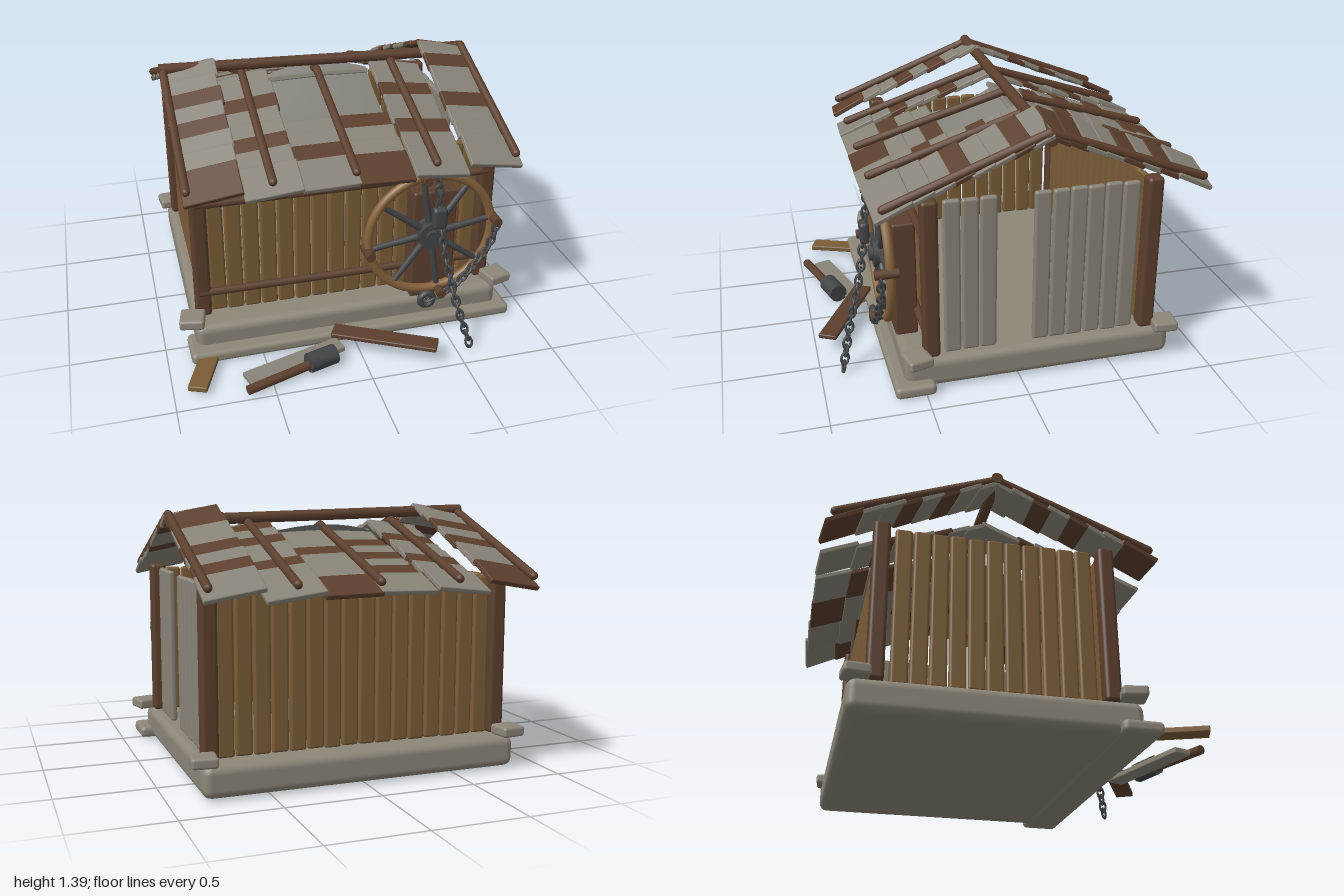
import * as THREE from 'three';
import { RoundedBoxGeometry } from 'three/addons/geometries/RoundedBoxGeometry.js';

const V = (x, y, z) => new THREE.Vector3(x, y, z);
const mat = (name, color, side = THREE.FrontSide) => {
  const m = new THREE.MeshStandardMaterial({ color, side });
  m.name = name;
  return m;
};

export function createModel() {
  const stone = mat('stone', 0x8c8678);
  const greyWood = mat('greyWood', 0x888377);
  const darkWood = mat('darkWood', 0x5c3f2e);
  const plankWood = mat('plankWood', 0x7a5c37);
  const wheelWood = mat('wheelWood', 0x86623b);
  const iron = mat('iron', 0x434446);
  const cloth = mat('patchCloth', 0x85827a, THREE.DoubleSide);

  const root = new THREE.Group();
  root.name = 'shed';
  let seed = 7;
  const rand = () => ((seed = (seed * 16807) % 2147483647) / 2147483647) - 0.5;

  const add = (parent, name, geo, m, pos = [0, 0, 0], rot = [0, 0, 0]) => {
    const mesh = new THREE.Mesh(geo, m);
    mesh.name = name;
    mesh.position.set(...pos);
    mesh.rotation.set(...rot);
    parent.add(mesh);
    return mesh;
  };
  const block = (parent, name, size, m, pos, rot, r = 0.012) =>
    add(parent, name, new RoundedBoxGeometry(...size, 2, Math.min(r, Math.min(...size) * 0.45)), m, pos, rot);
  const rod = (parent, name, a, b, r, m, r2 = r) => {
    const d = b.clone().sub(a);
    const mesh = add(parent, name, new THREE.CylinderGeometry(r2, r, d.length(), 12), m);
    mesh.position.copy(a).addScaledVector(d, 0.5);
    mesh.quaternion.setFromUnitVectors(V(0, 1, 0), d.normalize());
    return mesh;
  };
  const group = (name) => {
    const g = new THREE.Group();
    g.name = name;
    root.add(g);
    return g;
  };

  // Stone foundation, front step and corner pads
  const base = group('foundation');
  block(base, 'slab', [1.68, 0.165, 1.43], stone, [0, 0.0975, -0.115], undefined, 0.045);
  block(base, 'step', [1.78, 0.065, 0.21], stone, [0.01, 0.04, 0.565], [0, 0.012, 0], 0.025);
  for (const [x, z, ry] of [[-0.85, 0.54, -0.2], [0.85, 0.54, 0.25], [-0.82, -0.79, 0.1], [0.83, -0.79, -0.1]])
    block(base, 'cornerPad', [0.13, 0.055, 0.13], stone, [x, 0.205, z], [0, ry, 0], 0.015);

  // Corner posts and rows of wall planks
  const walls = group('walls');
  for (const x of [-0.78, 0.78])
    for (const z of [0.455, -0.7])
      block(walls, 'cornerPost', [0.085, 0.86, 0.085], darkWood, [x, 0.61, z], undefined, 0.02);
  const plank = (name, x, z, w, ry, m) =>
    block(walls, name, [w, 0.84 + rand() * 0.012, 0.035], m, [x, 0.6, z], [0, ry, rand() * 0.008], 0.014);
  for (let i = 0; i < 16; i++) {
    const x = -0.695 + i * 0.0927;
    plank('frontPlank', x, 0.44, 0.087, 0, plankWood);
    plank('backPlank', x, -0.69, 0.087, 0, plankWood);
  }
  for (let i = 0; i < 11; i++) {
    const z = 0.34 - i * 0.0927;
    plank('leftGable', -0.77, z, 0.087, Math.PI / 2, plankWood);
    if (i !== 3 && i !== 4) plank('rightGable', 0.77, z, 0.087, Math.PI / 2, greyWood);
  }
  for (const y of [0.32, 0.845]) rod(walls, 'frontRail', V(-0.8, y, 0.48), V(0.78, y, 0.48), 0.021, darkWood);

  // Roof: six sagging columns of shingles on each slope (1 = dark, 0 = grey, - = missing), eave row first
  const roof = group('roof');
  const RZ = -0.13;
  const columns = [
    { ridge: 1.345, eave: 1.005, roll: 0.2, f: '10010100', b: '10010100' },
    { ridge: 1.265, eave: 0.985, roll: 0.13, f: '00100100', b: '00100100' },
    { ridge: 1.235, eave: 0.99, roll: 0.02, f: '0100----', b: '01010100' },
    { ridge: 1.235, eave: 0.985, roll: -0.03, f: '1001----', b: '10001000' },
    { ridge: 1.265, eave: 0.985, roll: -0.15, f: '00100100', b: '00100101' },
    { ridge: 1.345, eave: 1.005, roll: -0.21, f: '00010010', b: '01010011' },
  ];
  const shingleGeo = [0.205, 0.125].map((l) => new RoundedBoxGeometry(0.294, 0.026, l, 1, 0.006));
  columns.forEach((c, i) => {
    for (const s of [1, -1]) {
      const panel = new THREE.Group();
      panel.name = s > 0 ? 'frontRoofColumn' : 'backRoofColumn';
      const x = -0.72 + i * 0.287;
      const eave = V(x, c.eave, s > 0 ? 0.73 : -0.99);
      const ridge = V(x, c.ridge, RZ);
      const len = eave.distanceTo(ridge);
      const u = eave.clone().sub(ridge).normalize();
      const side = V(s, s * c.roll, 0);
      side.addScaledVector(u, -side.dot(u)).normalize();
      const n = u.clone().cross(side);
      panel.quaternion.setFromRotationMatrix(new THREE.Matrix4().makeBasis(side, n, u));
      panel.position.copy(ridge);
      const pitch = (len - 0.2) / 7;
      [...(s > 0 ? c.f : c.b)].forEach((k, r) => {
        if (k === '-') return;
        const d = r ? len - 0.2 - (r - 0.5) * pitch : len - 0.1;
        add(panel, 'shingle', shingleGeo[r ? 1 : 0], k === '1' ? darkWood : greyWood,
          [rand() * 0.012, rand() * 0.004, d], [0.08, rand() * 0.02, 0]);
      });
      roof.add(panel);
    }
  });

  // Sagging patch over the hole in the front slope
  const patchGeo = new THREE.PlaneGeometry(1, 1, 12, 12);
  const p = patchGeo.attributes.position;
  for (let i = 0; i < p.count; i++) {
    const u = p.getX(i), v = p.getY(i) + 0.5;
    const arch = 1 - 4 * u * u;
    const z = 0.36 - v * (0.54 + 0.04 * arch);
    p.setXYZ(i, u * 0.58, 1.225 - 0.27 * (z - RZ) + 0.03 * arch * v - 0.05 * Math.sin(Math.PI * v), z);
  }
  patchGeo.computeVertexNormals();
  add(roof, 'roofPatch', patchGeo, cloth);

  // Ridge pole and roof battens
  rod(roof, 'ridgePole', V(-0.87, 1.35, RZ), V(0.86, 1.305, RZ), 0.03, darkWood);
  for (const [x, top] of [[-0.85, 1.345], [-0.43, 1.3], [-0.01, 1.275], [0.41, 1.3], [0.835, 1.34]])
    for (const s of [1, -1]) {
      const end = V(x, 1.035, s > 0 ? 0.68 : -0.94);
      rod(roof, 'batten', V(x, top, RZ), end, 0.022, darkWood);
      add(roof, 'battenEnd', new THREE.SphereGeometry(0.022, 10, 8), darkWood, end.toArray());
    }

  // Spoked wheel on its mounting board
  const wheel = group('wheel');
  block(wheel, 'mountingBoard', [0.24, 0.64, 0.12], darkWood, [0.45, 0.5, 0.54]);
  const hub = V(0.41, 0.6, 0.64);
  add(wheel, 'rim', new THREE.TorusGeometry(0.34, 0.024, 10, 48), wheelWood, hub.toArray());
  rod(wheel, 'axle', V(0.41, 0.6, 0.5), V(0.41, 0.6, 0.7), 0.04, iron);
  rod(wheel, 'hub', V(0.41, 0.6, 0.6), V(0.41, 0.6, 0.68), 0.075, iron);
  for (let i = 0; i < 8; i++) {
    const a = ((9 + i * 45) * Math.PI) / 180;
    const at = (r, z) => V(hub.x + Math.cos(a) * r, hub.y + Math.sin(a) * r, z);
    rod(wheel, 'spoke', at(0.05, 0.64), at(0.33, 0.64), 0.02, iron, 0.015);
    if (i % 2 === 0) rod(wheel, 'handlePeg', at(0.35, 0.6), at(0.35, 0.72), 0.025, darkWood);
  }

  // Chains of alternating links
  const linkGeo = new THREE.TorusGeometry(0.019, 0.007, 6, 12).scale(1, 1.5, 1);
  const chain = (name, points) => {
    const g = group(name);
    const curve = new THREE.CatmullRomCurve3(points);
    const n = Math.round(curve.getLength() / 0.042);
    for (let i = 0; i <= n; i++) {
      const link = add(g, 'link', linkGeo, iron);
      link.position.copy(curve.getPointAt(i / n));
      link.quaternion.setFromUnitVectors(V(0, 1, 0), curve.getTangentAt(i / n));
      link.rotateY(i % 2 ? Math.PI / 2 : 0.2);
    }
    return g;
  };
  const hanging = chain('hangingChain',
    [V(0.42, 0.97, 0.695), V(0.425, 0.74, 0.72), V(0.46, 0.5, 0.76), V(0.51, 0.25, 0.83), V(0.57, 0.04, 0.88)]);
  block(hanging, 'chainWeight', [0.08, 0.12, 0.05], iron, [0.425, 0.735, 0.72], undefined, 0.02);
  const loop = chain('rimChain',
    [V(0.76, 0.62, 0.69), V(0.73, 0.52, 0.69), V(0.65, 0.4, 0.69), V(0.53, 0.27, 0.69), V(0.41, 0.22, 0.69)]);
  add(loop, 'shackle', new THREE.TorusGeometry(0.036, 0.018, 8, 20), iron, [0.39, 0.22, 0.69]);

  // Mallet and loose boards on the ground
  const litter = group('litter');
  rod(litter, 'malletHandle', V(-0.64, 0.035, 0.965), V(-0.25, 0.05, 0.85), 0.024, darkWood);
  rod(litter, 'malletHead', V(-0.305, 0.06, 0.865), V(-0.155, 0.06, 0.82), 0.052, iron);
  block(litter, 'darkBoard', [0.56, 0.025, 0.1], darkWood, [0.12, 0.1, 0.81], [0, -0.49, 0], 0.006);
  block(litter, 'greyBoard', [0.56, 0.03, 0.1], greyWood, [-0.36, 0.025, 0.79], [0, 0.3, 0], 0.006);
  block(litter, 'lightBoard', [0.1, 0.03, 0.32], plankWood, [-0.825, 0.035, 0.75], [0, -0.38, 0], 0.006);
  return root;
}
